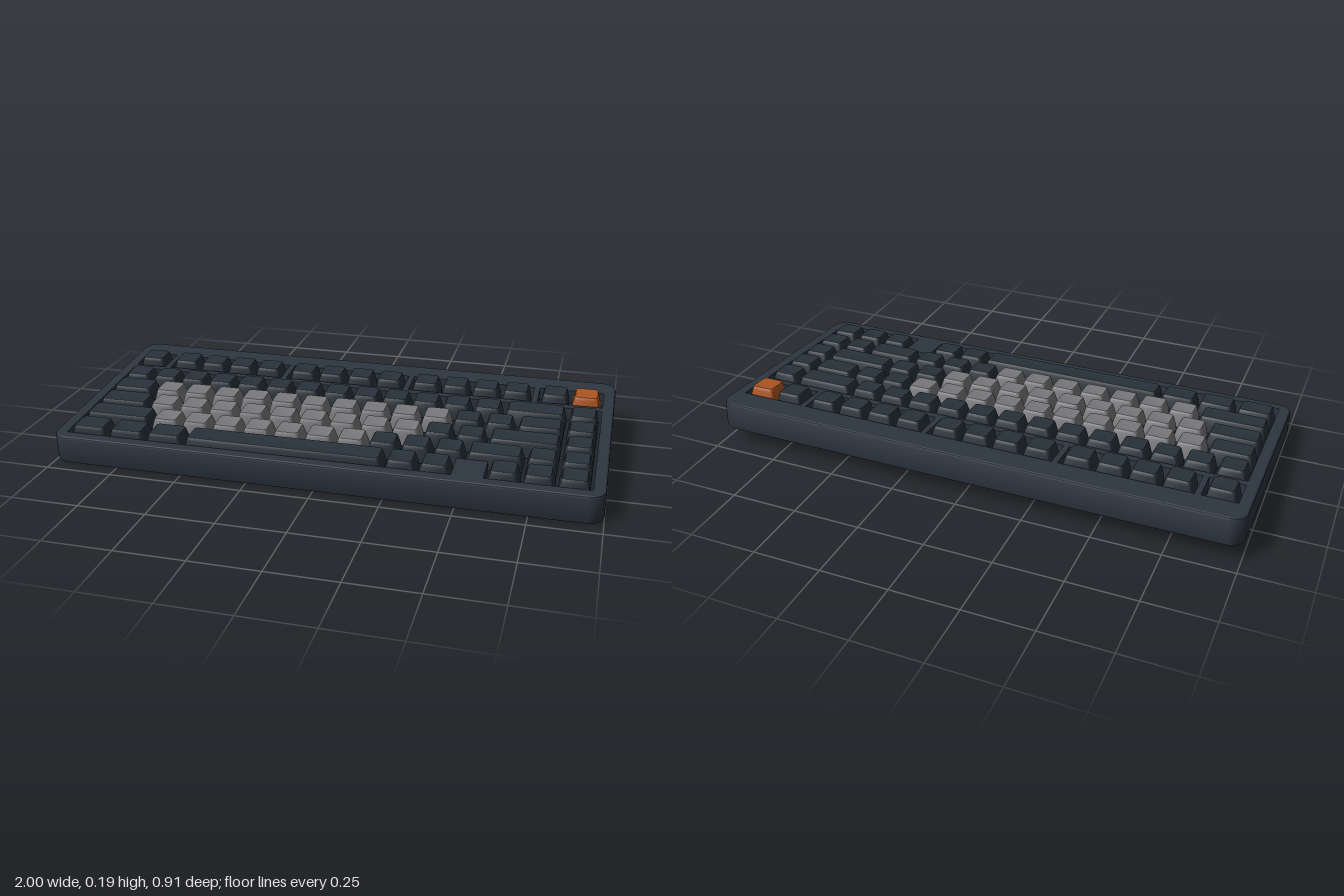
import * as THREE from 'three';
import { toCreasedNormals } from 'three/addons/utils/BufferGeometryUtils.js';

const mat = (name, color) => {
  const m = new THREE.MeshStandardMaterial({ color });
  m.name = name;
  return m;
};

// Outline of a rounded rectangle, counter-clockwise seen from above
function roundedOutline(w, d, r, seg) {
  const pts = [];
  for (let c = 0; c < 4; c++) {
    const sx = c === 0 || c === 3 ? 1 : -1, sz = c < 2 ? 1 : -1;
    for (let i = 0; i <= seg; i++) {
      const a = (c + i / seg) * Math.PI / 2;
      pts.push([sx * (w / 2 - r) + r * Math.cos(a), -sz * (d / 2 - r) - r * Math.sin(a)]);
    }
  }
  return pts;
}

// Skin over rounded rectangles: each level is [inset, y, cornerRadius]
function loft(w, d, levels, seg, capBottom, topCentreY) {
  const pos = [], idx = [], n = 4 * (seg + 1);
  for (const [inset, y, r] of levels)
    for (const [x, z] of roundedOutline(w - 2 * inset, d - 2 * inset, r, seg)) pos.push(x, y, z);
  for (let l = 0; l < levels.length - 1; l++)
    for (let i = 0; i < n; i++) {
      const a = l * n + i, b = l * n + (i + 1) % n;
      idx.push(a, b, b + n, a, b + n, a + n);
    }
  const cap = (start, y, up) => {
    const c = pos.length / 3;
    pos.push(0, y, 0);
    for (let i = 0; i < n; i++) {
      const a = start + i, b = start + (i + 1) % n;
      if (up) idx.push(a, b, c); else idx.push(b, a, c);
    }
  };
  if (capBottom) cap(0, levels[0][1], false);
  if (topCentreY !== undefined) cap((levels.length - 1) * n, topCentreY, true);
  const g = new THREE.BufferGeometry();
  g.setAttribute('position', new THREE.Float32BufferAttribute(pos, 3));
  g.setIndex(idx);
  return toCreasedNormals(g, 0.6);
}

export function createModel() {
  const model = new THREE.Group();
  model.name = 'keyboard';
  const caseMat = mat('slate case', 0x2d3640);
  const darkMat = mat('dark keycap', 0x28323a);
  const greyMat = mat('grey keycap', 0x79787b);
  const orangeMat = mat('orange keycap', 0xad5520);
  const plateMat = mat('dark plate', 0x1e252b);

  const W = 2, D = 0.903, T = 0.107, B = 0.008, U = 0.119, X0 = -8 * U, tilt = 0.069;
  const body = new THREE.Group();
  body.name = 'tiltedBody';
  body.rotation.x = tilt;
  body.position.set(0, 0.031, -0.0037);
  model.add(body);
  const add = (name, geo, material, x = 0, y = 0, z = 0, parent = body) => {
    const m = new THREE.Mesh(geo, material);
    m.name = name;
    m.position.set(x, y, z);
    parent.add(m);
  };

  // Case shell: softly bevelled at the bottom and top edges
  add('caseShell', loft(W, D, [
    [B, 0, 0.047], [0.0025, 0.0025, 0.052], [0, B, 0.055],
    [0, T - B, 0.055], [0.0025, T - 0.0025, 0.052], [B, T, 0.047],
  ], 8, true), caseMat);

  // Top frame with a well for each key cluster
  const toShape = (pts) => pts.map(([x, z]) => new THREE.Vector2(x, -z));
  const frame = new THREE.Shape(toShape(roundedOutline(W - 2 * B, D - 2 * B, 0.047, 8)));
  const topRowZ = -0.285, m = 0.004, half = U / 2 + m;
  const clusters = [[0, 1], [1.25, 4], [5.5, 4], [9.75, 4], [14, 2]];
  for (const [start, count] of clusters) {
    const a = X0 + start * U - m, b = X0 + (start + count) * U + m;
    frame.holes.push(new THREE.Path(toShape([
      [a, topRowZ - half], [a, topRowZ + half], [b, topRowZ + half], [b, topRowZ - half]])));
  }
  const rowZ = [-0.129, -0.011, 0.107, 0.225, 0.343];
  const zTop = rowZ[0] - half, zEnd = rowZ[4] + half, zNotch = rowZ[4] - U / 2 + m;
  const left = X0 - m, right = -X0 + m, n0 = X0 + 12 * U + m, n1 = X0 + 13 * U - m;
  // The main well leaves a solid block beside the arrow keys
  frame.holes.push(new THREE.Path(toShape([
    [left, zTop], [left, zEnd], [n0, zEnd], [n0, zNotch],
    [n1, zNotch], [n1, zEnd], [right, zEnd], [right, zTop]])));
  const frameGeo = new THREE.ExtrudeGeometry(frame, { depth: 0.06, bevelEnabled: false });
  frameGeo.rotateX(-Math.PI / 2);
  add('topFrame', frameGeo, caseMat, 0, T - 0.06, 0);
  add('switchPlate', new THREE.BoxGeometry(1.94, 0.01, 0.82), plateMat, 0, T - 0.055, 0.02);

  // Keycaps: tapered, round-shouldered, with a shallow dish
  const cache = {};
  const keycap = (units, h) => cache[units + '/' + h] ??= loft(units * U - 0.010, U - 0.010, [
    [0, 0, 0.010], [0.002, h * 0.3, 0.011], [0.009, h * 0.8, 0.013], [0.0115, h * 0.94, 0.013],
    [0.0135, h * 0.985, 0.012], [0.0165, h, 0.011], [0.021, h - 0.0012, 0.010],
  ], 4, false, h - (units > 3 ? 0.001 : 0.003));

  const keyBase = T - 0.042;
  const keys = new THREE.Group();
  keys.name = 'keycaps';
  body.add(keys);
  const key = (name, start, units, z, h, material) =>
    add(name, keycap(units, h), material, X0 + (start + units / 2) * U, keyBase, z, keys);

  // Top row with the orange accent key at the end
  for (const [start, count] of clusters)
    for (let i = 0; i < count; i++) {
      const accent = start + i === 15;
      key(accent ? 'accentKey' : 'topRowKey', start + i, 1, topRowZ, 0.068, accent ? orangeMat : darkMat);
    }

  // Main rows: key widths in units (negative = gap), and the range of grey keys
  const ones = (n) => Array(n).fill(1);
  const rows = [
    { name: 'numberRowKey', widths: [...ones(13), 2, 1], grey: [0, 0], h: 0.063 },
    { name: 'upperRowKey', widths: [1.5, ...ones(12), 1.5, 1], grey: [1, 11], h: 0.062 },
    { name: 'homeRowKey', widths: [1.75, ...ones(11), 2.25, 1], grey: [1, 10], h: 0.061 },
    { name: 'lowerRowKey', widths: [2.25, ...ones(10), 1.75, 1, 1], grey: [1, 8], h: 0.061 },
    { name: 'bottomRowKey', widths: [1.25, 1.25, 1.25, 6.25, 1, 1, -1, 1, 1, 1], grey: [0, 0], h: 0.061 },
  ];
  rows.forEach(({ name, widths, grey, h }, r) => {
    let x = 0;
    widths.forEach((w, i) => {
      const isGrey = i >= grey[0] && i < grey[1];
      if (w > 0) key(w > 3 ? 'spaceBar' : name, x, w, rowZ[r], h, isGrey ? greyMat : darkMat);
      x += Math.abs(w);
    });
  });

  return model;
}
